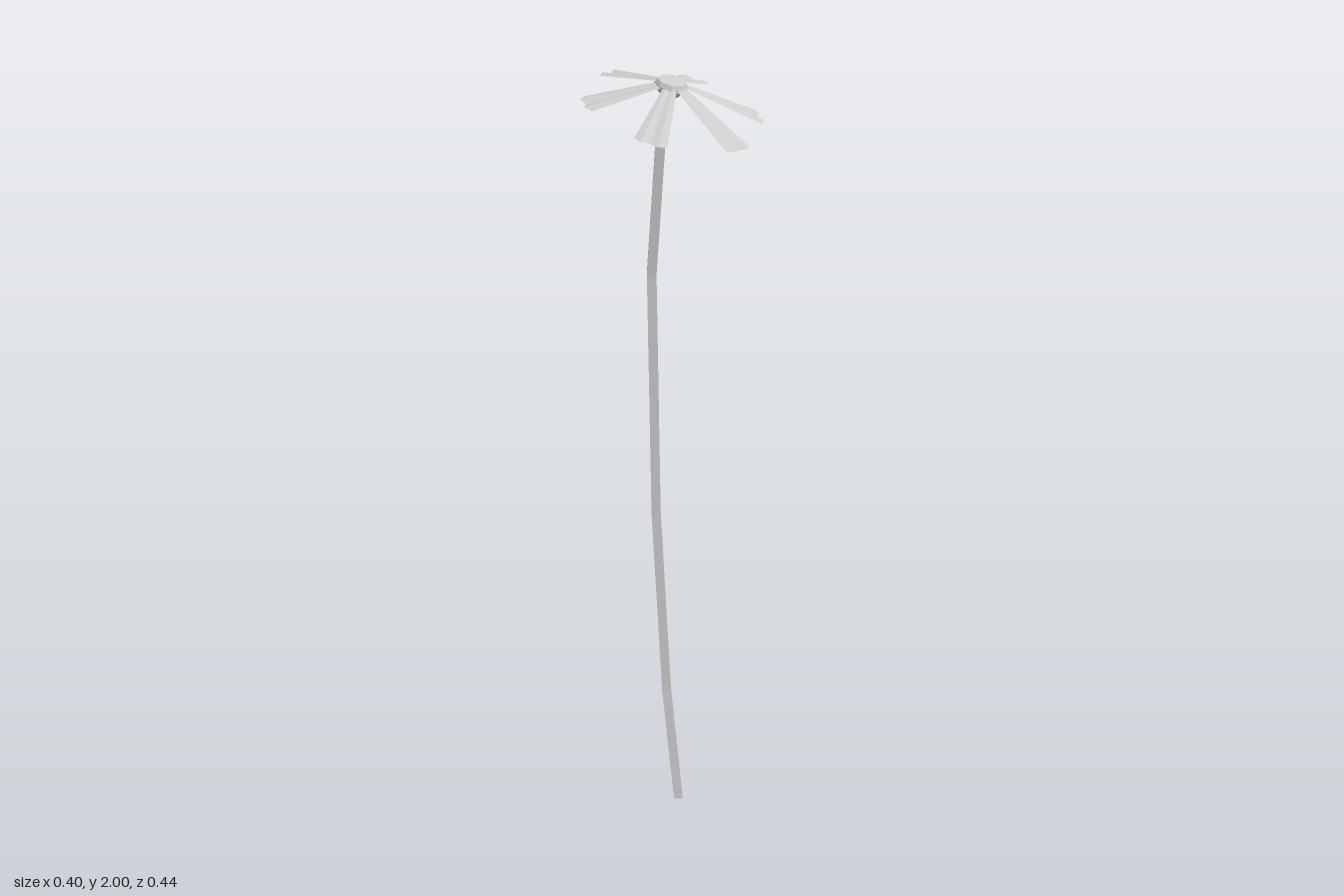
import * as THREE from 'three';

const TILT = 0.27; // forward slope of the flower head

// Bent four-sided stem: a segmented prism whose rows follow a centre line
function makeStem(material) {
  const line = [[0, 0.02], [0.33, -0.025], [0.85, -0.062], [1.5, -0.074], [1.83, -0.043], [1.965, -0.008]];
  const n = line.length - 1;
  const geo = new THREE.CylinderGeometry(0.017, 0.017, n, 4, n);
  const p = geo.attributes.position;
  for (let i = 0; i < p.count; i++) {
    const [y, z] = line[Math.round(p.getY(i) + n / 2)];
    p.setY(i, y);
    p.setZ(i, p.getZ(i) + z);
  }
  geo.computeVertexNormals();
  const stem = new THREE.Mesh(geo, material);
  stem.name = 'stem';
  return stem;
}

// Tilted eight-sided flower centre with bevelled rims
function makeCentre(material) {
  const profile = [[0, -0.02], [0.027, -0.02], [0.04, -0.003], [0.04, 0.003], [0.034, 0.013], [0, 0.013]];
  const geo = new THREE.LatheGeometry(profile.map(([r, y]) => new THREE.Vector2(r, y)), 8);
  const centre = new THREE.Mesh(geo, material);
  centre.name = 'flowerCentre';
  centre.position.set(0, 1.979, -0.007);
  centre.rotation.x = Math.atan(TILT);
  return centre;
}

// Pleated, notched petal, drooping outwards and following the head's slope
function makePetal(angle, material) {
  // Per column: base half width, shoulder half width, tip distance, fold height
  const columns = [
    [-0.016, -0.039, 0.207, 0],
    [-0.008, -0.02, 0.22, 0.005],
    [0, 0, 0.211, 0],
    [0.008, 0.02, 0.22, 0.005],
    [0.016, 0.039, 0.207, 0],
  ];
  const geo = new THREE.PlaneGeometry(1, 1, 4, 1);
  const p = geo.attributes.position;
  const s = Math.sin(angle), c = Math.cos(angle);
  for (let i = 0; i < p.count; i++) {
    const [base, shoulder, tip, fold] = columns[i % 5];
    const outer = i >= 5;
    const u = outer ? tip : 0.03;
    const w = outer ? shoulder : base;
    const x = u * s + w * c;
    const z = u * c - w * s;
    const y = 1.99 - 0.33 * u - TILT * z + (outer ? fold : fold * 0.4);
    p.setXYZ(i, x, y, z);
  }
  geo.computeVertexNormals();
  const petal = new THREE.Mesh(geo, material);
  petal.name = 'petal';
  return petal;
}

export function createModel() {
  const grey = new THREE.MeshStandardMaterial({ color: 0xcccccc, flatShading: true, side: THREE.DoubleSide });
  grey.name = 'paleGrey';

  const model = new THREE.Group();
  model.name = 'flower';
  model.add(makeStem(grey), makeCentre(grey));

  // Six petals around the centre
  const petals = new THREE.Group();
  petals.name = 'petals';
  for (let i = 0; i < 6; i++) petals.add(makePetal(i * Math.PI / 3, grey));
  model.add(petals);
  return model;
}
